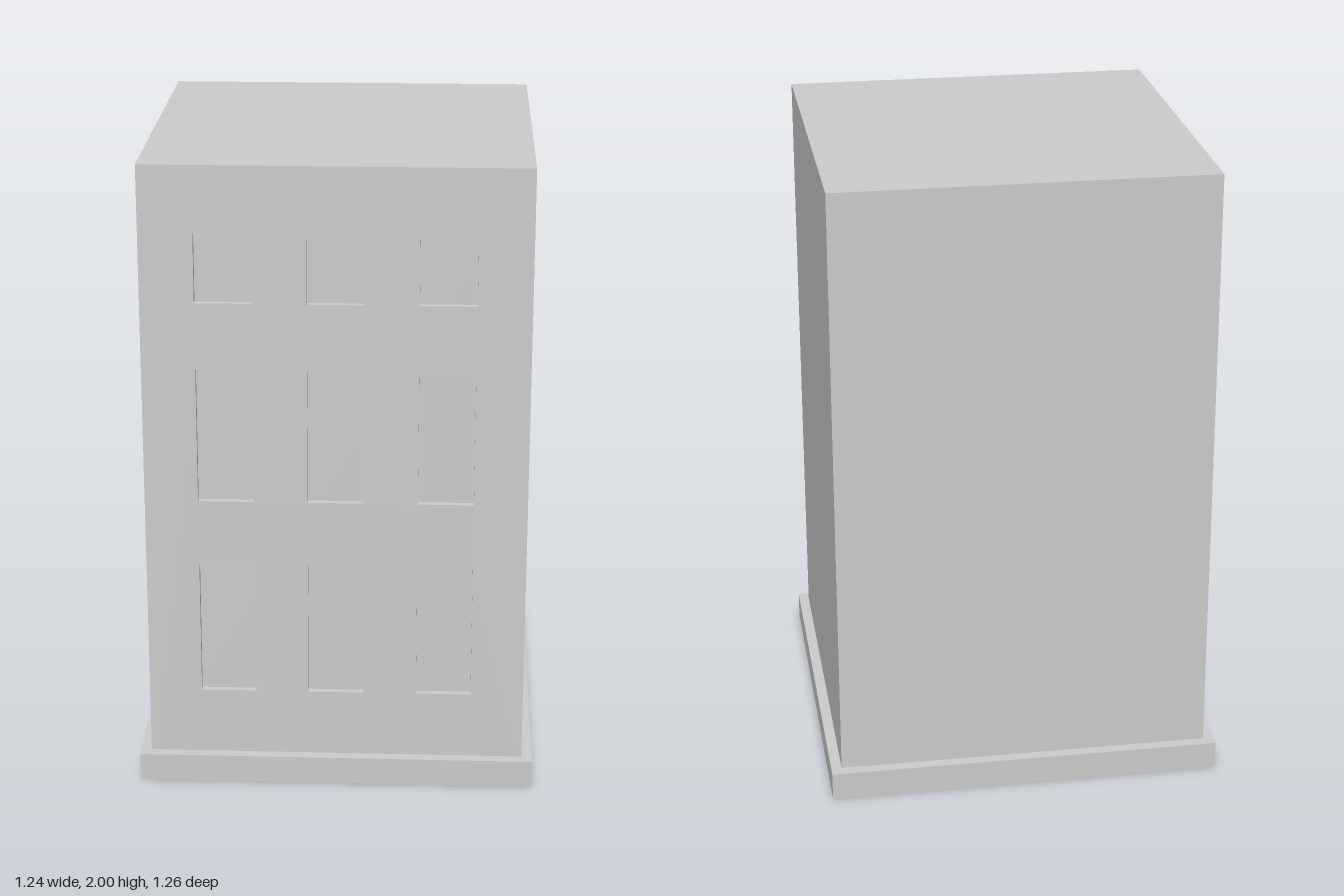
import * as THREE from 'three';

const BASE = { w: 1.244, h: 0.088, d: 1.263 };
const BODY = { w: 1.178, top: 2, d: 1.192 };
const RECESS = 0.02;
const WINDOW_W = 0.172;
const COLUMNS = [-0.338, 0, 0.338];
const ROWS = [[0.302, 0.73], [0.942, 1.367], [1.577, 1.793]]; // sill and head heights

function rectangle(path, x0, y0, x1, y1) {
  path.moveTo(x0, y0);
  path.lineTo(x1, y0);
  path.lineTo(x1, y1);
  path.lineTo(x0, y1);
  path.closePath();
  return path;
}

export function createModel() {
  const group = new THREE.Group();
  group.name = 'building';
  const material = new THREE.MeshStandardMaterial({ color: 0xcccccc });

  const add = (name, geometry, y, z) => {
    const mesh = new THREE.Mesh(geometry, material);
    mesh.name = name;
    mesh.position.set(0, y, z);
    group.add(mesh);
  };

  // Plinth
  add('plinth', new THREE.BoxGeometry(BASE.w, BASE.h, BASE.d), BASE.h / 2, 0);

  // Main block; its front face forms the backs of the window recesses
  const height = BODY.top - BASE.h;
  add('mainBlock', new THREE.BoxGeometry(BODY.w, height, BODY.d - RECESS),
    BASE.h + height / 2, -RECESS / 2);

  // Front wall with window openings
  const wall = rectangle(new THREE.Shape(), -BODY.w / 2, BASE.h, BODY.w / 2, BODY.top);
  for (const x of COLUMNS) {
    for (const [sill, head] of ROWS) {
      wall.holes.push(rectangle(new THREE.Path(), x - WINDOW_W / 2, sill, x + WINDOW_W / 2, head));
    }
  }
  add('frontWall', new THREE.ExtrudeGeometry(wall, { depth: RECESS, bevelEnabled: false }),
    0, BODY.d / 2 - RECESS);

  return group;
}
